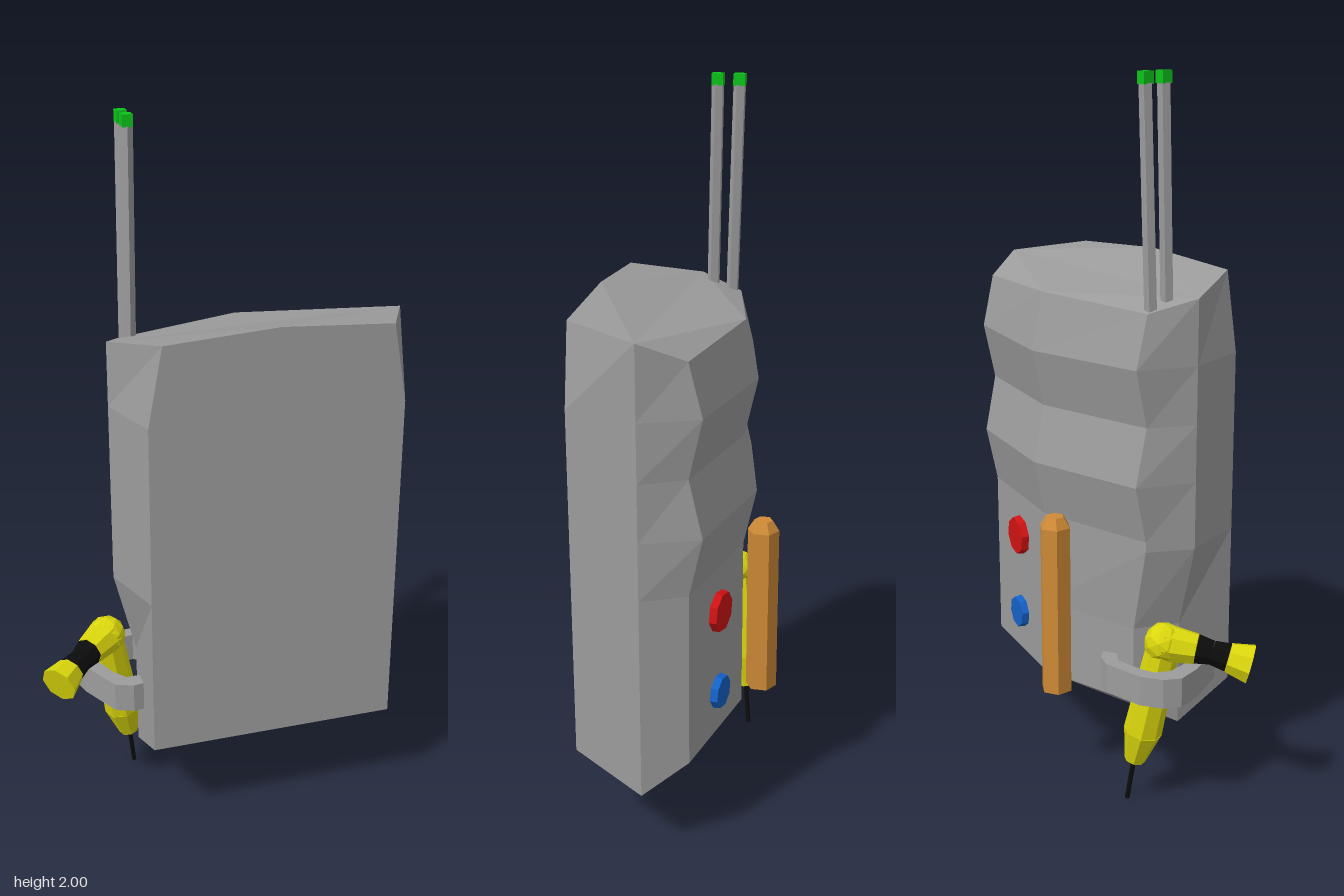
import * as THREE from 'three';

const mat = (name, color) => {
  const m = new THREE.MeshStandardMaterial({ color, flatShading: true });
  m.name = name;
  return m;
};

export function createModel() {
  const gray = mat('metal gray', 0x9c9c9c), yellow = mat('tool yellow', 0xdad60c);
  const black = mat('rubber black', 0x0c0c0c), green = mat('tip green', 0x0cc41a);
  const orange = mat('rod orange', 0xcf8a36), red = mat('button red', 0xd01212);
  const blue = mat('button blue', 0x1462c8);
  const group = new THREE.Group();
  const add = (name, geometry, material, parent = group) => {
    const m = new THREE.Mesh(geometry, material);
    m.name = name;
    parent.add(m);
    return m;
  };

  // tapered cylinder between two points
  const up = new THREE.Vector3(0, 1, 0);
  const rod = (name, a, b, ra, rb, material, sides = 8, parent = group) => {
    const A = new THREE.Vector3(...a), B = new THREE.Vector3(...b);
    const d = B.clone().sub(A);
    const m = add(name, new THREE.CylinderGeometry(rb, ra, d.length(), sides), material, parent);
    m.position.copy(A).add(B).multiplyScalar(0.5);
    m.quaternion.setFromUnitVectors(up, d.normalize());
    return m;
  };

  // pack body: eight-point loops, bottom to top, with a rippled back
  // each row: height, back offset, left side x, left back corner x
  const rows = [
    [0.275, 0, -0.25, -0.2], [0.5, 0, -0.25, -0.2], [0.74, 0, -0.31, -0.25],
    [0.77, 0, -0.31, -0.25], [0.93, -0.036, -0.31, -0.25], [1.09, 0, -0.31, -0.25],
    [1.25, -0.036, -0.31, -0.25], [1.4, 0, -0.31, -0.25],
  ];
  const topY = [1.49, 1.47, 1.45, 1.395, 1.41, 1.395, 1.43, 1.47];
  const loops = rows.map(([y, dz, sideL, cornerL], r) => {
    const top = r === rows.length - 1, inset = top ? 0.04 : 0;
    const pts = [
      [0.105, 0.236], [0.46 - inset, 0.236], [0.52, 0.04], [0.46, -0.078 + dz],
      [0.105, -0.155 + dz], [cornerL, -0.078 + dz], [sideL, 0.045], [-0.25 + inset, 0.236],
    ];
    return pts.map(([x, z], i) => {
      let h = top ? topY[i] : y;
      if (r === 0 && (i === 2 || i === 6)) h = 0.195;
      return [x, h, z];
    });
  });
  const pos = [];
  const tri = (a, b, c) => pos.push(...a, ...b, ...c);
  for (let r = 0; r < loops.length - 1; r++) {
    const lo = loops[r], hi = loops[r + 1];
    for (let i = 0; i < 8; i++) {
      const j = (i + 1) % 8;
      tri(lo[i], lo[j], hi[j]);
      tri(lo[i], hi[j], hi[i]);
    }
  }
  // caps fold along the line joining the two side corners
  const caps = [[0, 1, 2], [0, 2, 6], [0, 6, 7], [2, 3, 4], [2, 4, 6], [4, 5, 6]];
  const bottom = loops[0], crown = loops[loops.length - 1];
  for (const [a, b, c] of caps) {
    tri(crown[a], crown[b], crown[c]);
    tri(bottom[a], bottom[c], bottom[b]);
  }
  const body = new THREE.BufferGeometry();
  body.setAttribute('position', new THREE.Float32BufferAttribute(pos, 3));
  body.computeVertexNormals();
  add('packBody', body, gray);

  // pair of antennas with coloured tips
  for (const [z0, z1] of [[0.0, -0.012], [-0.055, -0.072]]) {
    rod('antenna', [-0.237, 1.39, z0], [-0.229, 1.97, z1], 0.018, 0.018, gray, 5);
    const tip = add('antennaTip', new THREE.BoxGeometry(0.028, 0.032, 0.032), green);
    tip.position.set(-0.228, 1.984, z1);
  }

  // round buttons on the back
  const normal = new THREE.Vector3(0.077, 0, -0.355).normalize();
  for (const [name, y, r, m] of [['redButton', 0.645, 0.06, red], ['blueButton', 0.4, 0.05, blue]]) {
    const b = add(name, new THREE.CylinderGeometry(r * 0.92, r, 0.03, 8), m);
    b.position.set(0.28, y, -0.117).addScaledVector(normal, 0.006);
    b.quaternion.setFromUnitVectors(up, normal);
  }

  // filler rod on the back
  const filler = new THREE.LatheGeometry(
    [[0, 0.275], [0.045, 0.275], [0.045, 0.77], [0.026, 0.8], [0, 0.8]].map(p => new THREE.Vector2(...p)), 6);
  add('fillerRod', filler, orange).position.set(0.003, 0, -0.195);

  // open holster ring holding the torch
  const ring = [
    [-0.145, -0.14], [-0.17, -0.17], [-0.215, -0.185], [-0.33, -0.162], [-0.385, -0.125],
    [-0.408, -0.08], [-0.39, -0.01], [-0.355, 0.06], [-0.33, 0.11], [-0.28, 0.13], [-0.22, 0.12],
    [-0.22, 0.08], [-0.29, 0.08], [-0.32, 0.04], [-0.345, -0.02], [-0.355, -0.075],
    [-0.335, -0.115], [-0.3, -0.13], [-0.215, -0.145], [-0.18, -0.12],
  ];
  const shape = new THREE.Shape(ring.map(([x, z]) => new THREE.Vector2(x, -z)));
  const ringGeo = new THREE.ExtrudeGeometry(shape, { depth: 0.085, bevelEnabled: false });
  ringGeo.rotateX(-Math.PI / 2);
  add('holsterRing', ringGeo, gray).position.y = 0.345;

  // torch: wire, nozzle, bent neck, grip and flared end
  const torch = new THREE.Group();
  torch.name = 'torch';
  group.add(torch);
  const part = (name, a, b, ra, rb, m, sides) => rod(name, a, b, ra, rb, m, sides, torch);
  const elbow = [-0.312, 0.495, -0.062];
  part('torchWire', [-0.226, 0, -0.12], [-0.243, 0.14, -0.107], 0.007, 0.007, black, 6);
  part('torchNozzle', [-0.243, 0.125, -0.107], [-0.264, 0.22, -0.095], 0.03, 0.054, yellow);
  part('torchNeck', [-0.264, 0.22, -0.095], elbow, 0.054, 0.045, yellow);
  add('torchElbow', new THREE.IcosahedronGeometry(0.056, 1), yellow, torch).position.set(...elbow);
  part('torchArm', elbow, [-0.378, 0.483, -0.003], 0.055, 0.043, yellow);
  part('torchGripInner', [-0.378, 0.483, -0.003], [-0.41, 0.475, 0.026], 0.042, 0.034, black);
  part('torchGripOuter', [-0.41, 0.475, 0.026], [-0.444, 0.465, 0.054], 0.034, 0.04, black);
  part('torchEnd', [-0.444, 0.465, 0.054], [-0.488, 0.45, 0.095], 0.042, 0.056, yellow);

  return group;
}
